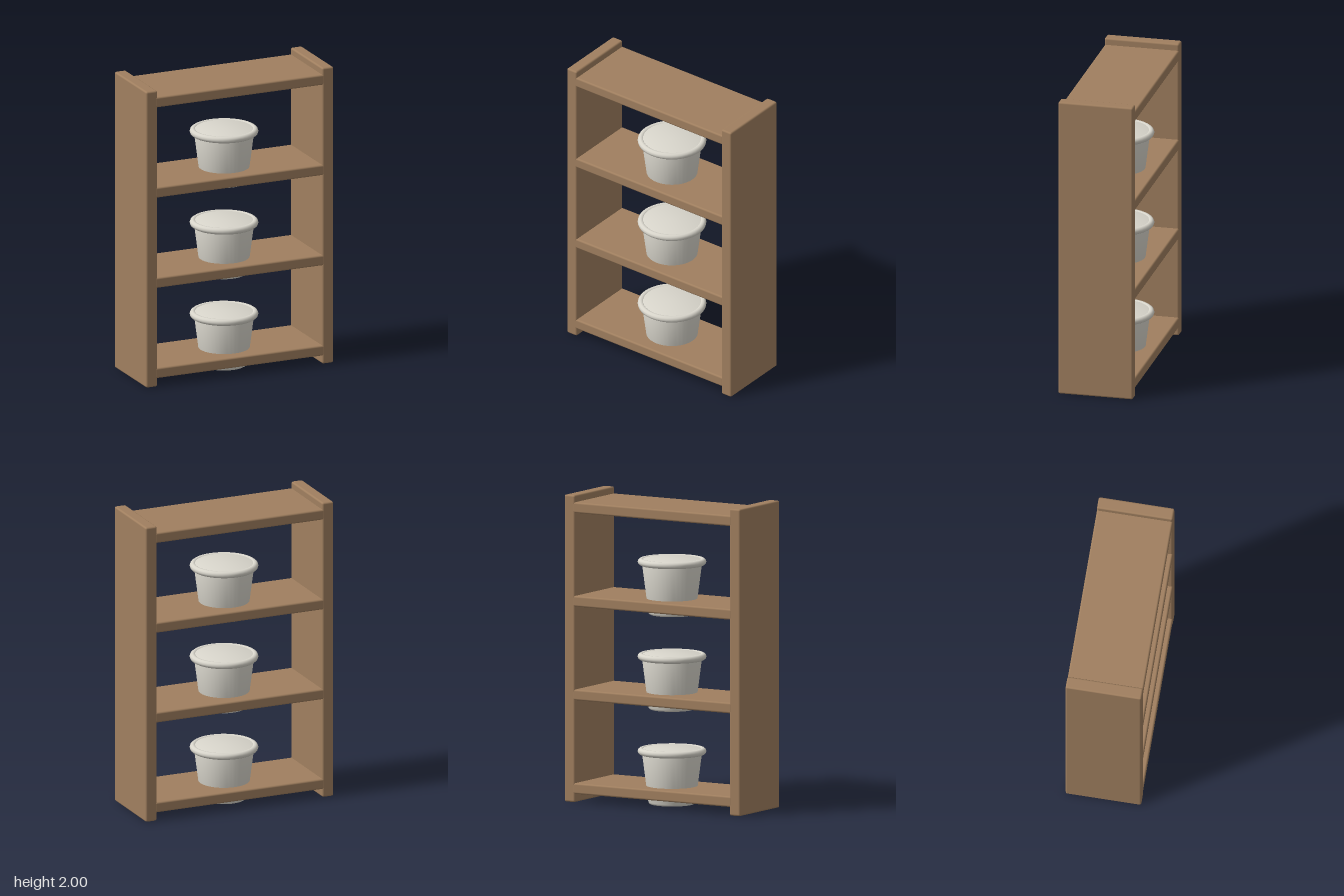
import * as THREE from 'three';
import { RoundedBoxGeometry } from 'three/addons/geometries/RoundedBoxGeometry.js';
import { toCreasedNormals } from 'three/addons/utils/BufferGeometryUtils.js';

export function createModel() {
  const group = new THREE.Group();
  group.name = 'shelfWithPots';

  const wood = new THREE.MeshStandardMaterial({ color: 0xa07f5f });
  wood.name = 'wood';
  const ceramic = new THREE.MeshStandardMaterial({ color: 0xd9d6cc });
  ceramic.name = 'ceramic';

  const add = (parent, name, geometry, material, x, y, z = 0) => {
    const mesh = new THREE.Mesh(geometry, material);
    mesh.name = name;
    mesh.position.set(x, y, z);
    parent.add(mesh);
    return mesh;
  };

  // Upright side panels
  const panel = new RoundedBoxGeometry(0.08, 2, 0.495, 2, 0.012);
  add(group, 'leftPanel', panel, wood, 0.625, 1);
  add(group, 'rightPanel', panel, wood, -0.625, 1);

  // Four boards, let slightly into the panels
  const board = new RoundedBoxGeometry(1.2, 0.07, 0.495, 2, 0.012);
  for (let i = 0; i < 4; i++) add(group, `board${i + 1}`, board, wood, 0, 0.09 + i * 0.61, 0);

  // Tapered pot body with a softened foot and a closed top
  const profile = [
    [0, 0], [0.142, 0], [0.149, 0.004], [0.153, 0.013],
    [0.196, 0.345], [0.192, 0.358], [0.184, 0.361], [0, 0.361],
  ].map(([r, y]) => new THREE.Vector2(r, y));
  const body = toCreasedNormals(new THREE.LatheGeometry(profile, 40), 0.7);

  // Rounded rim
  const rim = new THREE.TorusGeometry(0.2, 0.022, 10, 40);
  rim.rotateX(Math.PI / 2);

  // One pot set through each of the three lower boards
  for (let i = 0; i < 3; i++) {
    const pot = new THREE.Group();
    pot.name = `pot${i + 1}`;
    pot.position.y = 0.006 + i * 0.617;
    add(pot, 'potBody', body, ceramic, 0, 0);
    add(pot, 'potRim', rim, ceramic, 0, 0.343);
    group.add(pot);
  }

  return group;
}
